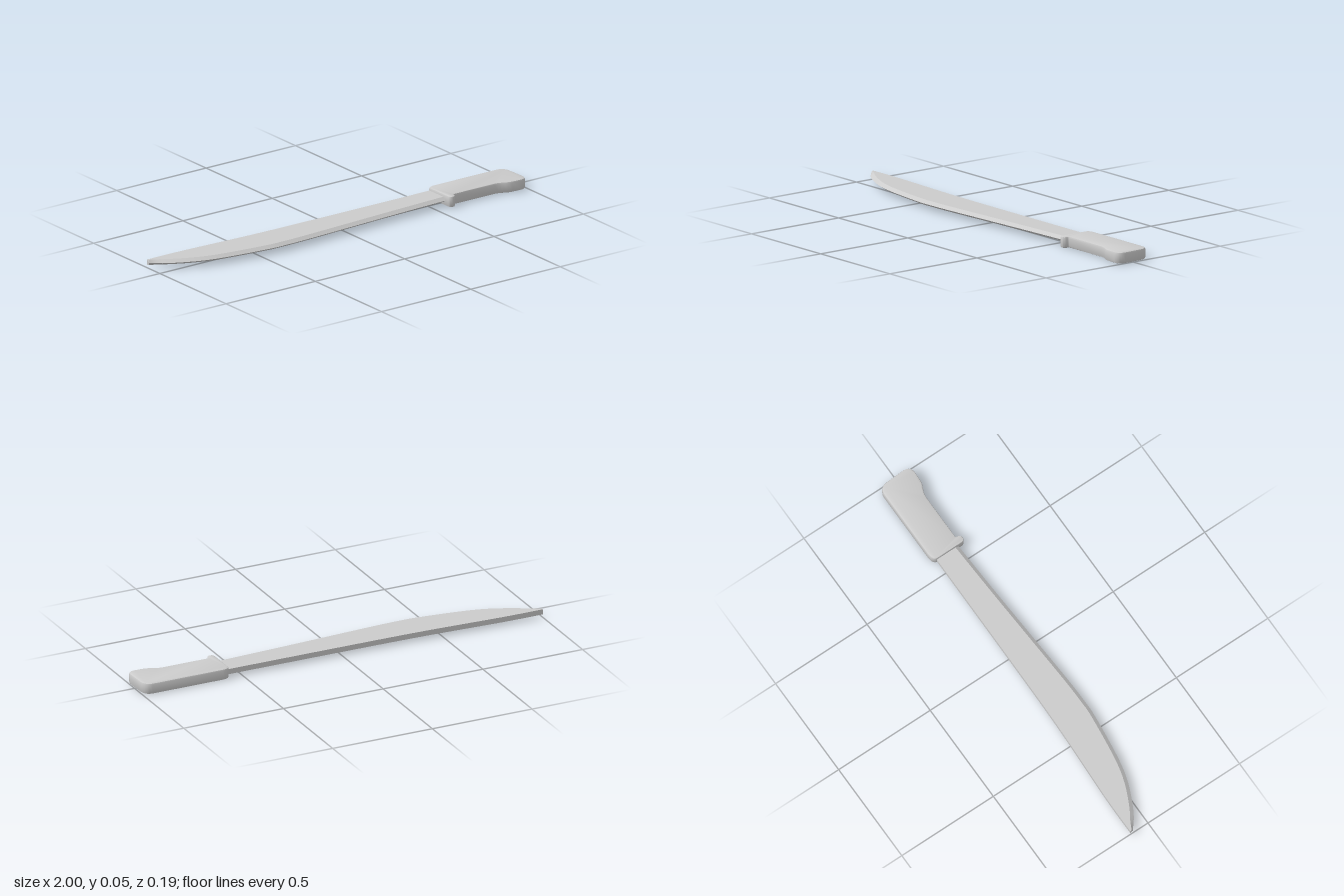
import * as THREE from 'three';
import { toCreasedNormals } from 'three/addons/utils/BufferGeometryUtils.js';

const MID = 0.027; // height of the blade's centre plane

// Smooth curve through [x, z] pairs
const curve = (pts) => new THREE.SplineCurve(pts.map(([x, z]) => new THREE.Vector2(x, z)));

// Blade: cross-sections (flat spine, flat sides, ground edge) lofted from tip to handle
function bladeGeometry() {
  const spine = curve([[-1, -0.096], [-0.8, -0.095], [-0.4, -0.079], [0, -0.075], [0.6, -0.074]]);
  const edge = curve([[-1, -0.083], [-0.93, -0.03], [-0.8, 0.03], [-0.67, 0.062], [-0.45, 0.089],
    [-0.36, 0.091], [-0.24, 0.088], [0.03, 0.073], [0.3, 0.058], [0.6, 0.044]]);
  const half = 0.0125, steps = 36, rings = [];
  for (let i = 0; i <= steps; i++) {
    const t = i / steps, s = spine.getPoint(t), e = edge.getPoint(t), d = edge.getTangent(t);
    const inset = Math.min(0.017, (e.y - s.y) * 0.4);
    const bx = Math.max(-1, e.x + d.y * inset), bz = e.y - d.x * inset;
    rings.push([
      [s.x, MID + half, s.y], [bx, MID + half, bz], [e.x, MID - 0.001, e.y],
      [bx, MID - half, bz], [s.x, MID - half, s.y],
    ]);
  }
  const pos = [], tri = (a, b, c) => pos.push(...a, ...b, ...c);
  for (let i = 0; i < steps; i++) {
    for (let j = 0; j < 5; j++) {
      const k = (j + 1) % 5, A = rings[i], B = rings[i + 1];
      tri(A[j], A[k], B[k]);
      tri(A[j], B[k], B[j]);
    }
  }
  // End caps
  const first = rings[0], last = rings[steps];
  for (let j = 1; j < 4; j++) {
    tri(first[0], first[j + 1], first[j]);
    tri(last[0], last[j], last[j + 1]);
  }
  const g = new THREE.BufferGeometry();
  g.setAttribute('position', new THREE.Float32BufferAttribute(pos, 3));
  return toCreasedNormals(g, 0.35);
}

// Handle: side outline with finger guard and flared butt, extruded with a rounded rim
function handleGeometry() {
  const b = 0.008; // rim size, added outside the outline
  const s = new THREE.Shape();
  s.moveTo(0.573, 0.072);
  s.quadraticCurveTo(0.575, 0.086, 0.605, 0.087);
  s.lineTo(0.955, 0.087);
  s.quadraticCurveTo(0.985, 0.085, 0.988, 0.05);
  s.lineTo(0.992, -0.045);
  s.quadraticCurveTo(0.99, -0.073, 0.965, -0.073);
  s.lineTo(0.915, -0.071);
  s.bezierCurveTo(0.885, -0.068, 0.875, -0.048, 0.835, -0.047);
  s.lineTo(0.606, -0.047);
  s.quadraticCurveTo(0.596, -0.048, 0.595, -0.06);
  s.quadraticCurveTo(0.594, -0.073, 0.583, -0.073);
  s.quadraticCurveTo(0.573, -0.073, 0.573, -0.06);
  s.closePath();
  const g = new THREE.ExtrudeGeometry(s, {
    depth: 0.053 - 2 * b, bevelEnabled: true, bevelSize: b, bevelThickness: b,
    bevelSegments: 2, curveSegments: 5,
  });
  g.rotateX(-Math.PI / 2);
  g.translate(0, b, 0);
  return toCreasedNormals(g, 0.6);
}

export function createModel() {
  const group = new THREE.Group();
  group.name = 'machete';
  const material = new THREE.MeshStandardMaterial({ color: 0xcccccc });
  const add = (name, geometry) => {
    const mesh = new THREE.Mesh(geometry, material);
    mesh.name = name;
    group.add(mesh);
  };
  add('blade', bladeGeometry());
  add('handle', handleGeometry());
  return group;
}
